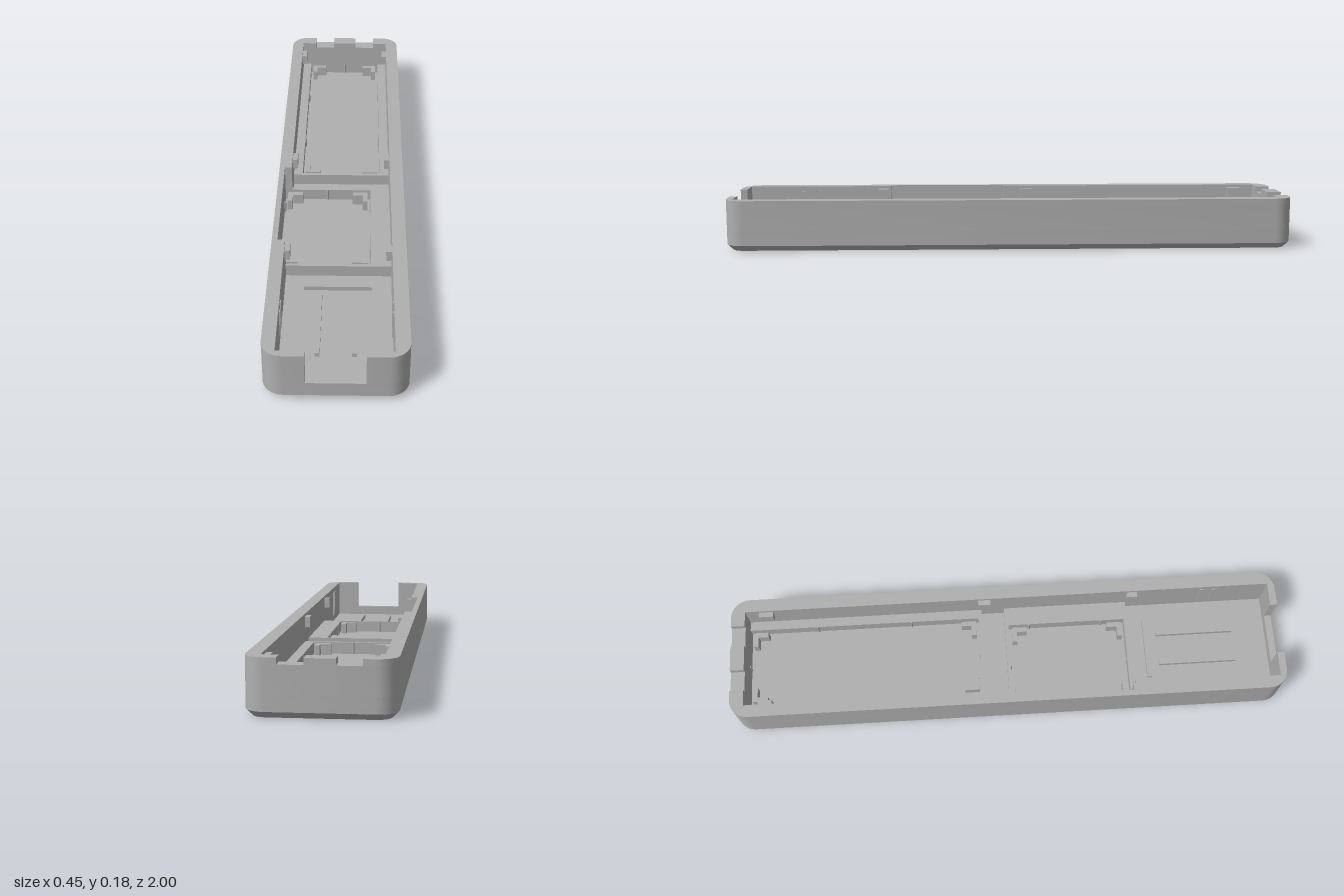
import * as THREE from 'three';
import { toCreasedNormals } from 'three/addons/utils/BufferGeometryUtils.js';

const W = 0.224, L = 1, R = 0.065, TOP = 0.178;
const FLOOR = 0.035, DECK = 0.077, SILL = 0.07, CHAMFER = 0.02;
const IN_L = -0.18, IN_R = 0.177, IN_BACK = -0.95, IN_FRONT = 0.975;

export function createModel() {
  const group = new THREE.Group();
  const plastic = new THREE.MeshStandardMaterial({ color: 0xb0b0b0 });
  plastic.name = 'grey plastic';

  const add = (name, geometry) => {
    const mesh = new THREE.Mesh(geometry, plastic);
    mesh.name = name;
    group.add(mesh);
    return mesh;
  };

  // Box given by its limits on each axis
  const box = (name, x0, x1, y0, y1, z0, z1) => {
    const g = new THREE.BoxGeometry(x1 - x0, y1 - y0, z1 - z0);
    g.translate((x0 + x1) / 2, (y0 + y1) / 2, (z0 + z1) / 2);
    return add(name, g);
  };

  // Plan outline [x, z] raised from y0 to y1
  const toPath = (pts) => pts.map(([x, z]) => new THREE.Vector2(x, -z));
  const slab = (pts, y0, y1, hole) => {
    const shape = new THREE.Shape(toPath(pts));
    if (hole) shape.holes.push(new THREE.Path(toPath(hole)));
    const g = new THREE.ExtrudeGeometry(shape, { depth: y1 - y0, bevelEnabled: false });
    g.rotateX(-Math.PI / 2);
    g.translate(0, y0, 0);
    return g;
  };
  const smooth = (g) => toCreasedNormals(g, 0.5);

  // Outer edge of one side, from front to back, with rounded corners
  const outerSide = (s) => {
    const pts = [];
    for (const end of [1, -1]) {
      for (let i = 0; i <= 8; i++) {
        const t = (i / 8) * Math.PI / 2;
        const a = end > 0 ? Math.PI / 2 - t : -t;
        pts.push([s * (W - R + R * Math.cos(a)), end * (L - R) + R * Math.sin(a)]);
      }
    }
    return pts;
  };
  const outer = [...outerSide(1), ...outerSide(-1).reverse()];

  // Inner edge of one side, from back to front; the right wall has a recess
  const innerSide = (s) => s > 0
    ? [[IN_R, IN_BACK], [IN_R, IN_FRONT]]
    : [[IN_L, IN_BACK], [IN_L, 0.015], [-0.205, 0.015], [-0.205, 0.445], [IN_L, 0.445], [IN_L, IN_FRONT]];
  const inner = [...innerSide(1), ...innerSide(-1).reverse()];

  // Chamfered underside: the bottom ring is pulled inwards
  const base = slab(outer, 0, CHAMFER);
  const pos = base.attributes.position;
  for (let i = 0; i < pos.count; i++) {
    if (pos.getY(i) > 0.001) continue;
    const x = pos.getX(i), z = pos.getZ(i);
    const cx = THREE.MathUtils.clamp(x, R - W, W - R);
    const cz = THREE.MathUtils.clamp(z, R - L, L - R);
    const k = (R - CHAMFER) / R;
    pos.setX(i, cx + (x - cx) * k);
    pos.setZ(i, cz + (z - cz) * k);
  }
  add('chamferedBase', smooth(base));
  add('floor', smooth(slab(outer, CHAMFER, FLOOR)));
  add('lowerWall', smooth(slab(outer, FLOOR, SILL, inner)));

  // Upper walls, leaving the front opening and two back notches
  const wallSide = (name, s, backX, y0, y1) => add(name, smooth(slab([
    [s * 0.092, L], ...outerSide(s), [s * backX, -L], [s * backX, IN_BACK],
    ...innerSide(s), [s * 0.092, IN_FRONT],
  ], y0, y1)));
  for (const s of [1, -1]) {
    wallSide('upperWall', s, 0, SILL, 0.158);
    wallSide('wallRim', s, 0.123, 0.158, TOP);
  }
  box('backRimTab', -0.047, 0.045, 0.158, TOP, -L, IN_BACK);

  // Rails beside the back and middle compartments
  box('backRailRight', IN_L, -0.147, FLOOR, DECK, IN_BACK, -0.085);
  box('backRailLeft', 0.143, IN_R, FLOOR, DECK, IN_BACK, -0.085);
  box('middleRail', 0.108, IN_R, FLOOR, DECK, 0, 0.455);

  // Thin dividers across the tray
  for (const [z0, z1] of [[-0.097, -0.085], [0, 0.013], [0.445, 0.457]]) {
    box('divider', IN_L, IN_R, FLOOR, DECK, z0, z1);
  }

  // L-shaped corner brackets inside a compartment
  const brackets = (x0, x1, z0, z1) => {
    for (const [cx, sx] of [[x0, 1], [x1, -1]]) {
      for (const [cz, sz] of [[z0, 1], [z1, -1]]) {
        const pts = [[0, 0], [0.055, 0], [0.055, 0.018], [0.018, 0.018], [0.018, 0.055], [0, 0.055]]
          .map(([x, z]) => [cx + sx * x, cz + sz * z]);
        add('cornerBracket', slab(pts, FLOOR, 0.075));
      }
    }
  };
  brackets(-0.137, 0.133, -0.938, -0.107);
  brackets(-0.195, 0.098, 0.025, 0.435);

  // Small locating pins along the compartment sides
  const pin = (x, z) => {
    const g = new THREE.CylinderGeometry(0.004, 0.004, DECK - FLOOR, 8);
    g.translate(x, (DECK + FLOOR) / 2, z);
    add('locatingPin', g);
  };
  for (const z of [-0.7, -0.35]) for (const x of [-0.147, 0.143]) pin(x, z);
  for (const z of [0.09, 0.36]) for (const x of [-0.203, 0.108]) pin(x, z);
  for (const [x, z] of [[0, -0.95], [0, -0.097], [-0.05, 0.013], [-0.05, 0.445]]) pin(x, z);

  // Snap tabs high on the side walls
  for (const [z0, z1] of [[-0.9, -0.85], [-0.095, -0.05], [0.455, 0.493]]) {
    box('snapTab', IN_L - 0.002, -0.162, 0.13, 0.168, z0, z1);
    box('snapTab', 0.158, IN_R + 0.002, 0.13, 0.168, z0, z1);
  }

  // Ribs on the front floor and thin strips on its walls
  box('crossRib', -0.115, 0.112, FLOOR, 0.05, 0.517, 0.533);
  for (const x of [-0.061, 0.055]) box('longRib', x - 0.008, x + 0.008, FLOOR, 0.05, 0.565, 0.85);
  for (const z of [0.735, 0.78]) {
    box('wallStrip', IN_L - 0.002, IN_L + 0.004, 0.06, 0.16, z - 0.006, z + 0.006);
    box('wallStrip', IN_R - 0.004, IN_R + 0.002, 0.06, 0.16, z - 0.006, z + 0.006);
  }

  return group;
}
